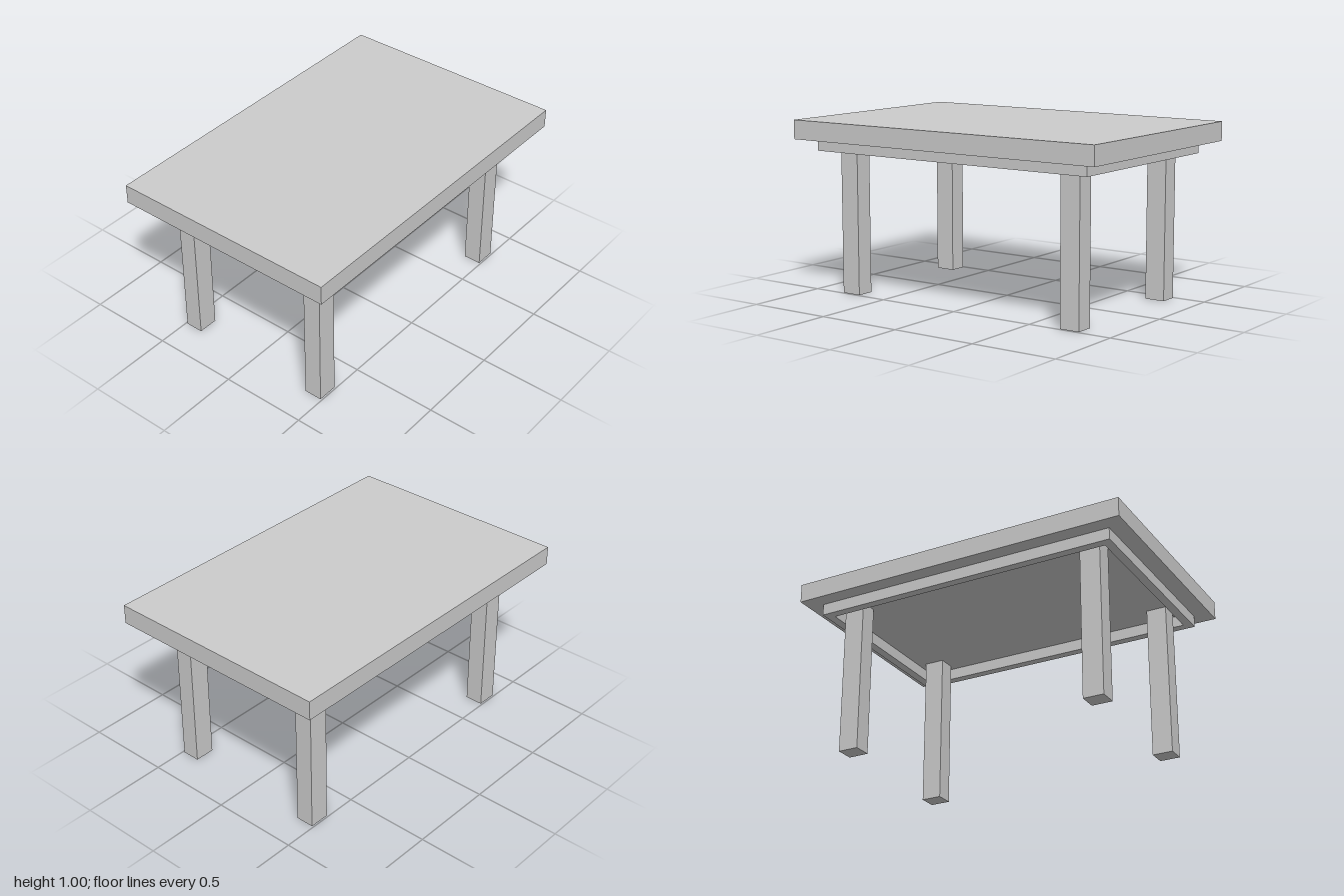
import * as THREE from 'three';

const material = new THREE.MeshStandardMaterial({ color: 0xcccccc, flatShading: true });

// Box given by its size, its centre in x and z, and its bottom height
function box(name, w, h, d, x, bottom, z) {
  const mesh = new THREE.Mesh(new THREE.BoxGeometry(w, h, d), material);
  mesh.name = name;
  mesh.position.set(x, bottom + h / 2, z);
  return mesh;
}

export function createModel() {
  const table = new THREE.Group();
  table.name = 'table';

  const underside = 0.893;

  // Thick rectangular top
  table.add(box('tableTop', 2, 0.11, 1.333, 0, underside, 0));

  // Hollow apron frame under the top
  const ax = 0.903, az = 0.578, rail = 0.05, apronHeight = 0.067;
  const rectangle = (Type, x, z) => new Type([
    new THREE.Vector2(-x, -z), new THREE.Vector2(x, -z),
    new THREE.Vector2(x, z), new THREE.Vector2(-x, z),
  ]);
  const frame = rectangle(THREE.Shape, ax, az);
  frame.holes.push(rectangle(THREE.Path, ax - rail, az - rail));
  const apronGeometry = new THREE.ExtrudeGeometry(frame, { depth: apronHeight, bevelEnabled: false });
  apronGeometry.rotateX(-Math.PI / 2);
  const apron = new THREE.Mesh(apronGeometry, material);
  apron.name = 'apron';
  apron.position.y = underside - apronHeight;
  table.add(apron);

  // Four square legs set inside the apron, reaching the top
  for (const [side, sx] of [['Left', 1], ['Right', -1]]) {
    for (const [end, sz] of [['front', 1], ['back', -1]]) {
      table.add(box(`${end}${side}Leg`, 0.118, underside, 0.105, sx * 0.746, 0, sz * 0.438));
    }
  }

  return table;
}
